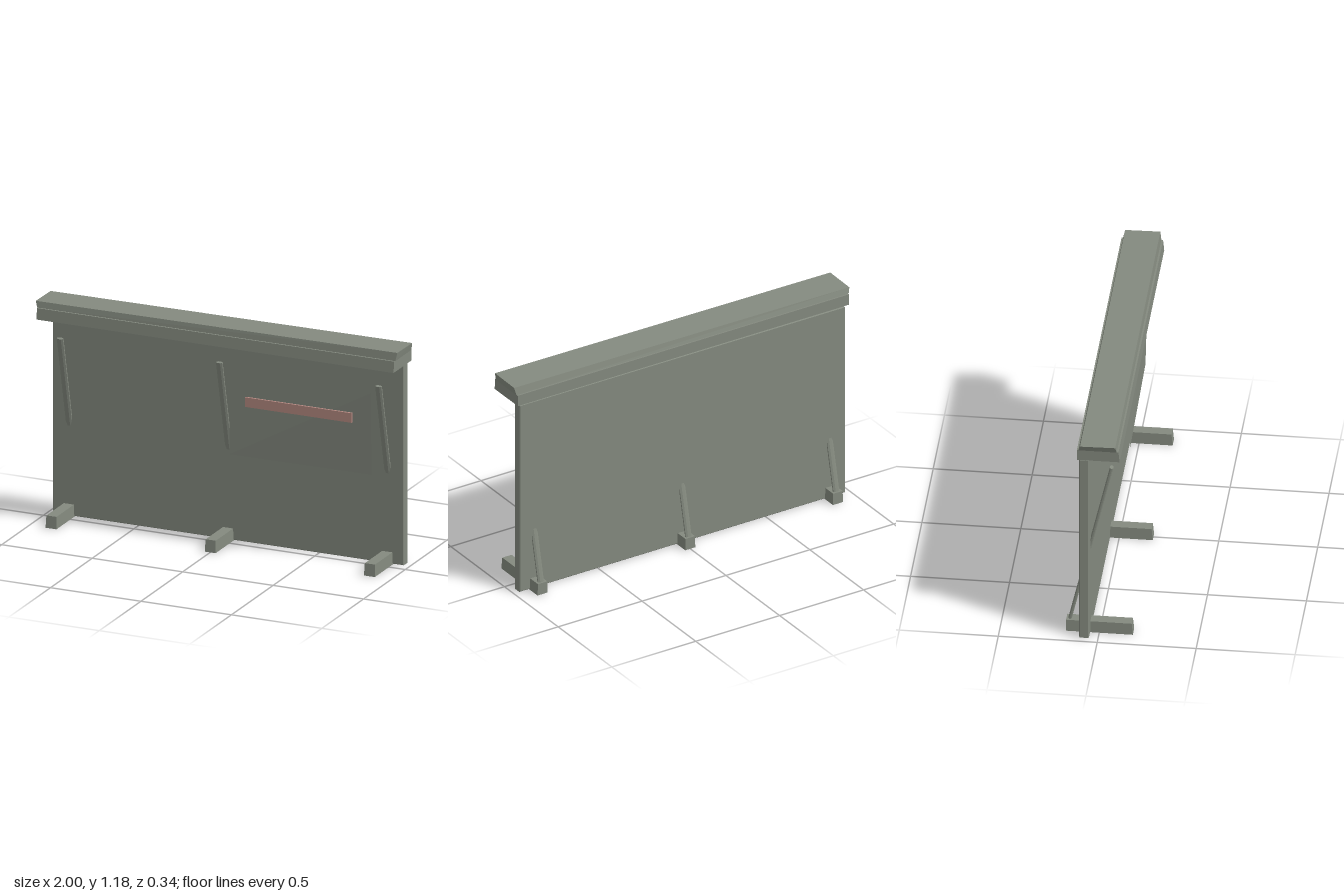
import * as THREE from 'three';

const wood = new THREE.MeshStandardMaterial({ color: 0x848a7f, flatShading: true });
wood.name = 'weathered grey wood';
const woodThin = wood.clone();
woodThin.side = THREE.DoubleSide;
const red = new THREE.MeshStandardMaterial({ color: 0xb58a82, flatShading: true });
red.name = 'faded red';

export function createModel() {
  const model = new THREE.Group();
  model.name = 'noticeBoard';

  const add = (name, geometry, material = wood) => {
    const mesh = new THREE.Mesh(geometry, material);
    mesh.name = name;
    model.add(mesh);
    return mesh;
  };

  // Box between two corners, with its vertices optionally moved by a rule
  const block = (x0, x1, y0, y1, z0, z1, rule) => {
    const g = new THREE.BoxGeometry(x1 - x0, y1 - y0, z1 - z0);
    g.translate((x0 + x1) / 2, (y0 + y1) / 2, (z0 + z1) / 2);
    if (rule) {
      const p = g.attributes.position;
      const v = new THREE.Vector3();
      for (let i = 0; i < p.count; i++) {
        v.fromBufferAttribute(p, i);
        rule(v, v.y > (y0 + y1) / 2, v.x > 0, v.z > (z0 + z1) / 2);
        p.setXYZ(i, v.x, v.y, v.z);
      }
      g.computeVertexNormals();
    }
    return g;
  };

  // Main upright panel, with softened vertical and top edges
  const b = 0.004;
  const outline = new THREE.Shape([
    [-0.97, 0.003], [0.97, 0.003], [0.97, 1.066], [0.966, 1.07], [-0.966, 1.066], [-0.97, 1.062],
  ].map(([x, y]) => new THREE.Vector2(x, y)));
  const panel = new THREE.ExtrudeGeometry(outline, {
    depth: 0.05 - 2 * b, bevelEnabled: true, bevelThickness: b, bevelSize: b, bevelOffset: -b, bevelSegments: 1,
  });
  panel.translate(0, 0, -0.095 + b);
  add('panel', panel);

  // Two-step cap, slightly uneven
  add('capLower', block(-0.987, 0.987, 1.076, 1.135, -0.104, 0.112, (v, top, right, front) => {
    if (top && front) v.z -= 0.006;
  }));
  add('capUpper', block(-0.99, 0.99, 1.135, 1.17, -0.096, 0.097, (v, top, right, front) => {
    if (!top) return;
    v.x += right ? 0.008 : -0.01;
    v.y += (right ? 0.007 : -0.004) + (front ? 0.001 : -0.002);
    v.z += front ? -0.006 : 0.009;
  }));

  // Feet and the slanting braces that pass through the panel
  const top = new THREE.Vector3(0, 0.975, 0.06);
  const bottom = new THREE.Vector3(0, 0.05, -0.153);
  const axis = top.clone().sub(bottom);
  for (const [i, side] of ['right', 'middle', 'left'].entries()) {
    const x = (i - 1) * 0.88;
    add(`${side}Foot`, block(x - 0.03, x + 0.03, 0, 0.064, -0.168, 0.17, (v, up, right, front) => {
      if (up && front) v.z -= 0.006;
      if (up) v.x += v.x > x ? -0.002 : 0.002;
    }));

    const bar = new THREE.CylinderGeometry(1, 1, axis.length(), 8);
    bar.rotateY(Math.PI / 8);
    bar.scale(0.0185, 1, 0.0095);
    const brace = add(`${side}Brace`, bar);
    brace.position.copy(top).add(bottom).multiplyScalar(0.5).setX(x);
    brace.rotation.x = Math.atan2(axis.z, axis.y);
  }

  // Thin, slightly warped notice sheet
  const sheet = new THREE.PlaneGeometry(0.78, 0.435);
  sheet.translate(0.44, 0.7075, 0.046);
  const p = sheet.attributes.position;
  for (let i = 0; i < p.count; i++) {
    if (p.getX(i) > 0.44 && p.getY(i) < 0.7) p.setZ(i, 0.035);
  }
  sheet.computeVertexNormals();
  add('noticeSheet', sheet, woodThin);

  // Red strip across the sheet
  add('redStrip', block(0.14, 0.73, 0.757, 0.808, 0.045, 0.056), red);

  return model;
}
